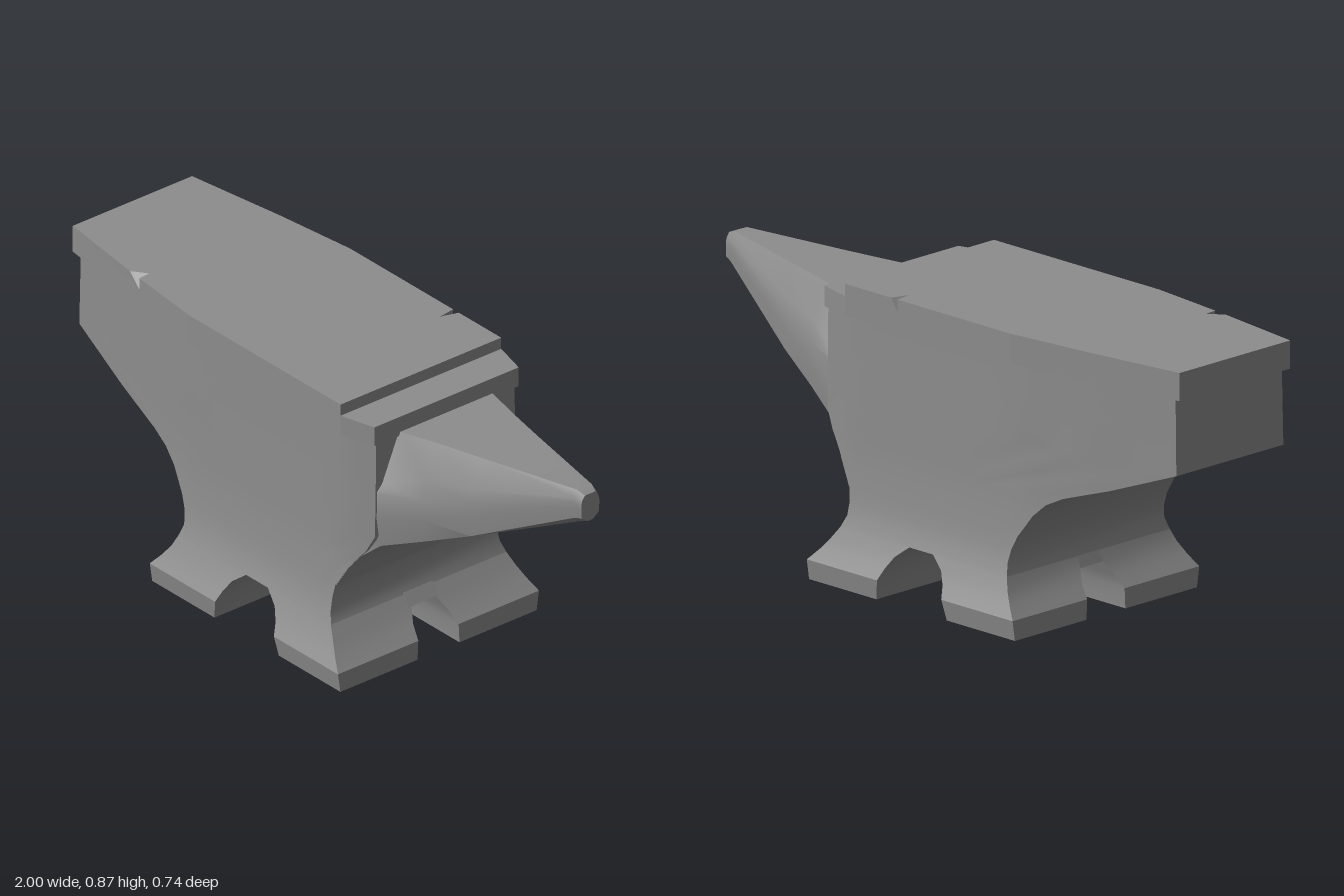
import * as THREE from 'three';
import { toCreasedNormals } from 'three/addons/utils/BufferGeometryUtils.js';

const material = new THREE.MeshStandardMaterial({ color: 0x8d8d8d });

// Skin a stack of equal-length rings of [x, y, z] points and cap both ends.
function loft(rings, crease = 0.55) {
  const n = rings[0].length, positions = rings.flat(2), index = [];
  rings.slice(1).forEach((_, i) => {
    for (let j = 0; j < n; j++) {
      const k = (j + 1) % n, a = i * n + j, b = i * n + k;
      index.push(a, b, b + n, a, b + n, a + n);
    }
  });
  [0, rings.length - 1].forEach((r, end) => {
    const center = [0, 1, 2].map((c) => rings[r].reduce((s, p) => s + p[c], 0) / n);
    const m = positions.length / 3;
    positions.push(...center);
    for (let j = 0; j < n; j++) {
      const a = r * n + j, b = r * n + (j + 1) % n;
      index.push(m, end ? a : b, end ? b : a);
    }
  });
  const geometry = new THREE.BufferGeometry();
  geometry.setAttribute('position', new THREE.Float32BufferAttribute(positions, 3));
  geometry.setIndex(index);
  return toCreasedNormals(geometry.toNonIndexed(), crease);
}

const rect = (y, x0, x1, z0, z1) => [[x0, y, z1], [x1, y, z1], [x1, y, z0], [x0, y, z0]];

// Piecewise linear interpolation through [x, value] pairs.
function interpolate(pairs, x) {
  if (x <= pairs[0][0]) return pairs[0][1];
  for (let i = 1; i < pairs.length; i++) {
    const [a, va] = pairs[i - 1], [b, vb] = pairs[i];
    if (x <= b) return va + (vb - va) * (x - a) / (b - a);
  }
  return pairs[pairs.length - 1][1];
}

// Waist and heel: rows of [y, left x, right x, half depth], narrowing towards both ends.
function bodyGeometry() {
  const rows = [
    [0.165, -0.415, 0.25, 0.322], [0.2, -0.405, 0.235, 0.31], [0.24, -0.412, 0.233, 0.302],
    [0.28, -0.43, 0.24, 0.297], [0.35, -0.48, 0.28, 0.291], [0.39, -0.525, 0.312, 0.289],
    [0.42, -0.585, 0.337, 0.288], [0.475, -0.75, 0.366, 0.287], [0.562, -0.98, 0.367, 0.286],
    [0.68, -0.978, 0.367, 0.284], [0.8, -0.975, 0.367, 0.283],
  ];
  const taper = [[-1, 0.73], [-0.67, 0.9], [-0.42, 1], [0.26, 1], [0.37, 0.895]];
  const columns = 20;
  return loft(rows.map(([y, x0, x1, depth]) => {
    const front = [];
    for (let i = 0; i <= columns; i++) {
      const x = x0 + (x1 - x0) * i / columns;
      front.push([x, y, depth * interpolate(taper, x)]);
    }
    return [...front, ...front.map(([x, h, z]) => [x, h, -z]).reverse()];
  }));
}

// Horn: half sections of [z, y] run from the top edge down to the keel, then mirror.
// The first ones lie inside the waist, so that the underside sweeps up out of it.
function hornGeometry() {
  const stations = [
    [0.242, [[0.17, 0.78], [0.235, 0.64], [0.25, 0.62], [0.265, 0.5], [0.296, 0.28], [0.08, 0.278]]],
    [0.283, [[0.17, 0.783], [0.235, 0.64], [0.25, 0.62], [0.265, 0.5], [0.285, 0.35], [0.08, 0.345]]],
    [0.318, [[0.17, 0.785], [0.235, 0.64], [0.25, 0.62], [0.262, 0.5], [0.268, 0.397], [0.08, 0.386]]],
    [0.37, [[0.17, 0.787], [0.232, 0.64], [0.25, 0.62], [0.252, 0.54], [0.238, 0.442], [0.08, 0.418]]],
    [0.5, [[0.135, 0.792], [0.185, 0.69], [0.198, 0.63], [0.2, 0.57], [0.19, 0.495], [0.06, 0.47]]],
    [0.65, [[0.1, 0.797], [0.14, 0.71], [0.149, 0.67], [0.151, 0.63], [0.147, 0.562], [0.04, 0.538]]],
    [0.975, [[0.026, 0.81], [0.038, 0.79], [0.041, 0.775], [0.041, 0.755], [0.039, 0.724], [0.012, 0.704]]],
    [1, [[0.02, 0.8], [0.03, 0.785], [0.033, 0.77], [0.033, 0.755], [0.031, 0.73], [0.01, 0.714]]],
  ];
  return loft(stations.map(([x, half]) => {
    const side = half.map(([z, y]) => [x, y, z]);
    return [...side, ...side.map(([a, y, z]) => [a, y, -z]).reverse()];
  }), 0.75);
}

// Flat slab with an outline of [x, z] points; each bottom point may be moved by a rule.
function slab(outline, bottom, top, moveBottom) {
  const shape = new THREE.Shape(outline.map(([x, z]) => new THREE.Vector2(x, -z)));
  const geometry = new THREE.ExtrudeGeometry(shape, { depth: top - bottom, bevelEnabled: false });
  geometry.rotateX(-Math.PI / 2).translate(0, bottom, 0);
  const p = geometry.attributes.position;
  for (let i = 0; i < p.count; i++) {
    if (p.getY(i) < bottom + 0.001) p.setXYZ(i, ...moveBottom(p.getX(i), p.getY(i), p.getZ(i)));
  }
  geometry.computeVertexNormals();
  return geometry;
}

export function createModel() {
  const group = new THREE.Group();
  const add = (name, geometry) => {
    const mesh = new THREE.Mesh(geometry, material);
    mesh.name = name;
    group.add(mesh);
  };

  add('body', bodyGeometry());
  add('horn', hornGeometry());

  // Face plate: the lower layer reaches the step and sinks a little towards the horn.
  const edge = [[-1, 0.219], [-0.67, 0.265], [-0.4, 0.295], [0.26, 0.295]];
  const mirrored = (points) => points.map(([x, z]) => [x, -z]).reverse();
  const lowerEdge = [...edge, [0.372, 0.265]];
  add('facePlateWithStep', slab([...lowerEdge, ...mirrored(lowerEdge)], 0.779, 0.836,
    (x, y, z) => [x, y - 0.01 * x, z]));

  // Upper layer with two chips that close to a point at the bottom.
  const frontChip = [[-0.7, 0.261], [-0.655, 0.228], [-0.652, 0.267]];
  const backChip = [[0.075, -0.295], [0.058, -0.24], [0.05, -0.295]];
  const chipped = (chip, x, z) => chip.some(([a, b]) => Math.hypot(a - x, b - z) < 0.002);
  add('topFace', slab([
    edge[0], ...frontChip, ...edge.slice(2),
    [0.26, -0.295], ...backChip, ...mirrored(edge.slice(0, 3)),
  ], 0.836, 0.872, (x, y, z) => {
    const chip = [frontChip, backChip].find((c) => chipped(c, x, z));
    return chip ? [chip[2][0], y, chip[2][1]] : [x, y, z];
  }));

  // Feet: rows of [y, outer left, inner left, inner right, outer right, inner z, outer z].
  const rows = [
    [0, -0.485, -0.213, 0.068, 0.337, 0.077, 0.36],
    [0.06, -0.485, -0.2, 0.057, 0.337, 0.074, 0.369],
    [0.095, -0.455, -0.187, 0.043, 0.303, 0.064, 0.351],
    [0.13, -0.43, -0.165, 0.02, 0.275, 0.047, 0.335],
    [0.165, -0.415, -0.12, -0.025, 0.25, 0.04, 0.322],
  ];
  for (const left of [true, false]) {
    for (const front of [true, false]) {
      add(`${front ? 'front' : 'back'}${left ? 'Left' : 'Right'}Foot`, loft(rows.map(
        ([y, ol, il, ir, or, iz, oz]) => rect(y, left ? ir : ol, left ? or : il,
          front ? iz : -oz, front ? oz : -iz)), 0.42));
    }
  }

  // Vaults closing the crossing arches under the waist.
  add('lengthwiseVault', loft([
    rect(0.133, -0.428, 0.273, -0.055, 0.055), rect(0.17, -0.413, 0.248, -0.055, 0.055),
  ]));
  add('crosswiseVault', loft([
    rect(0.134, -0.18, 0.04, -0.24, 0.24), rect(0.167, -0.13, -0.015, -0.318, 0.318),
  ]));
  return group;
}
